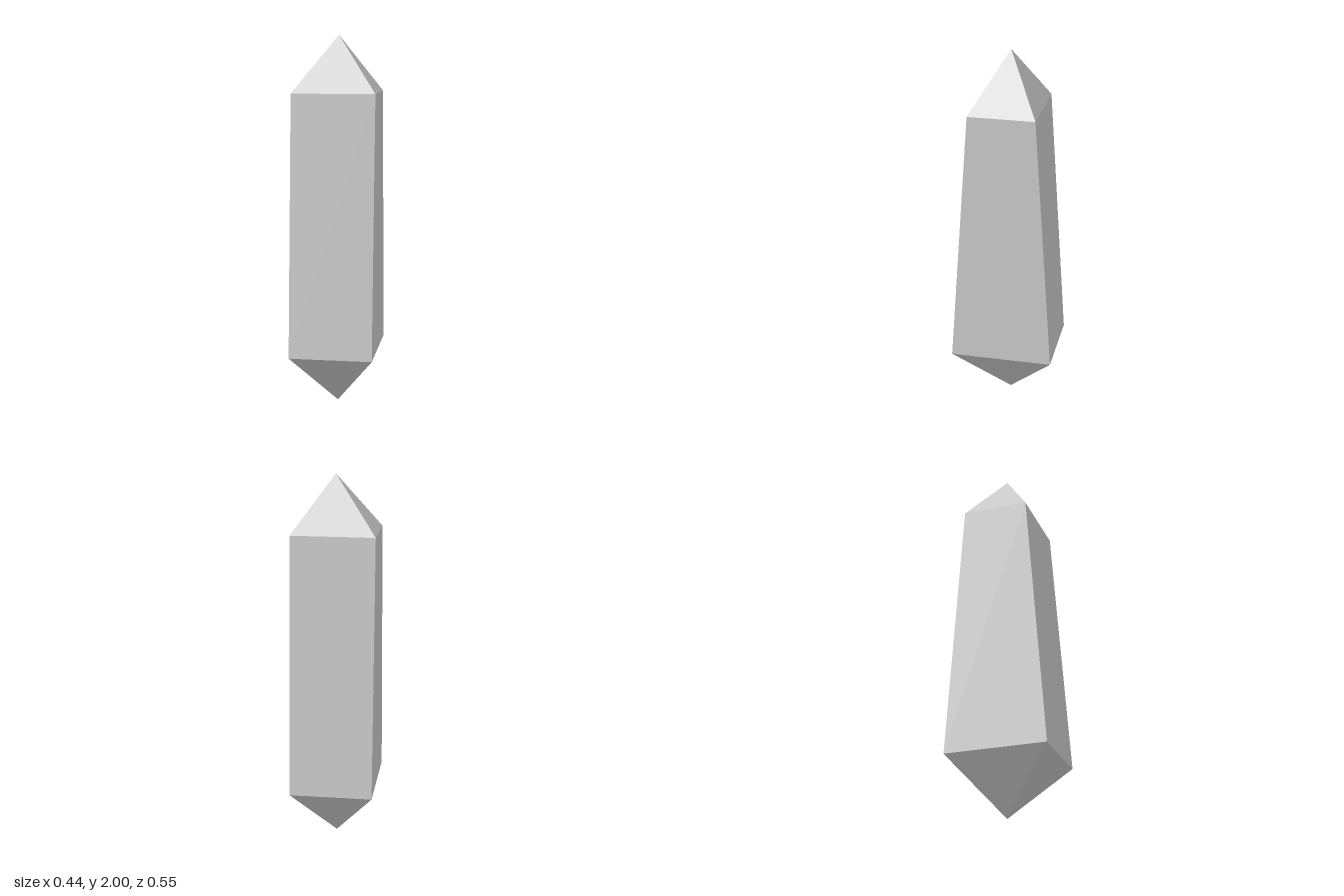
import * as THREE from 'three';

// Four corners of a rectangular section, counter-clockwise seen from above
function section(y, halfX, zBack, zFront) {
  return [[halfX, zFront], [halfX, zBack], [-halfX, zBack], [-halfX, zFront]]
    .map(([x, z]) => [x, y, z]);
}

// Joins two sections with flat faces; a section of one point makes a tip
function facets(name, lower, upper, material) {
  const positions = [];
  for (let i = 0; i < 4; i++) {
    const j = (i + 1) % 4;
    const at = (ring, k) => ring[k % ring.length];
    if (lower.length > 1) positions.push(...at(lower, i), ...at(lower, j), ...at(upper, j));
    if (upper.length > 1) positions.push(...at(lower, i), ...at(upper, j), ...at(upper, i));
  }
  const geometry = new THREE.BufferGeometry();
  geometry.setAttribute('position', new THREE.Float32BufferAttribute(positions, 3));
  geometry.computeVertexNormals();
  const mesh = new THREE.Mesh(geometry, material);
  mesh.name = name;
  return mesh;
}

export function createModel() {
  const group = new THREE.Group();
  group.name = 'crystal';
  const material = new THREE.MeshStandardMaterial({ color: 0xcccccc, flatShading: true });

  const bottomTip = [[0, 0, -0.01]];
  const base = section(0.305, 0.222, -0.275, 0.275);
  const shoulder = section(1.7, 0.222, -0.181, 0.171);
  const topTip = [[0.005, 2, -0.012]];

  group.add(
    facets('lowerPoint', bottomTip, base, material),
    facets('shaft', base, shoulder, material),
    facets('upperPoint', shoulder, topTip, material),
  );
  return group;
}
